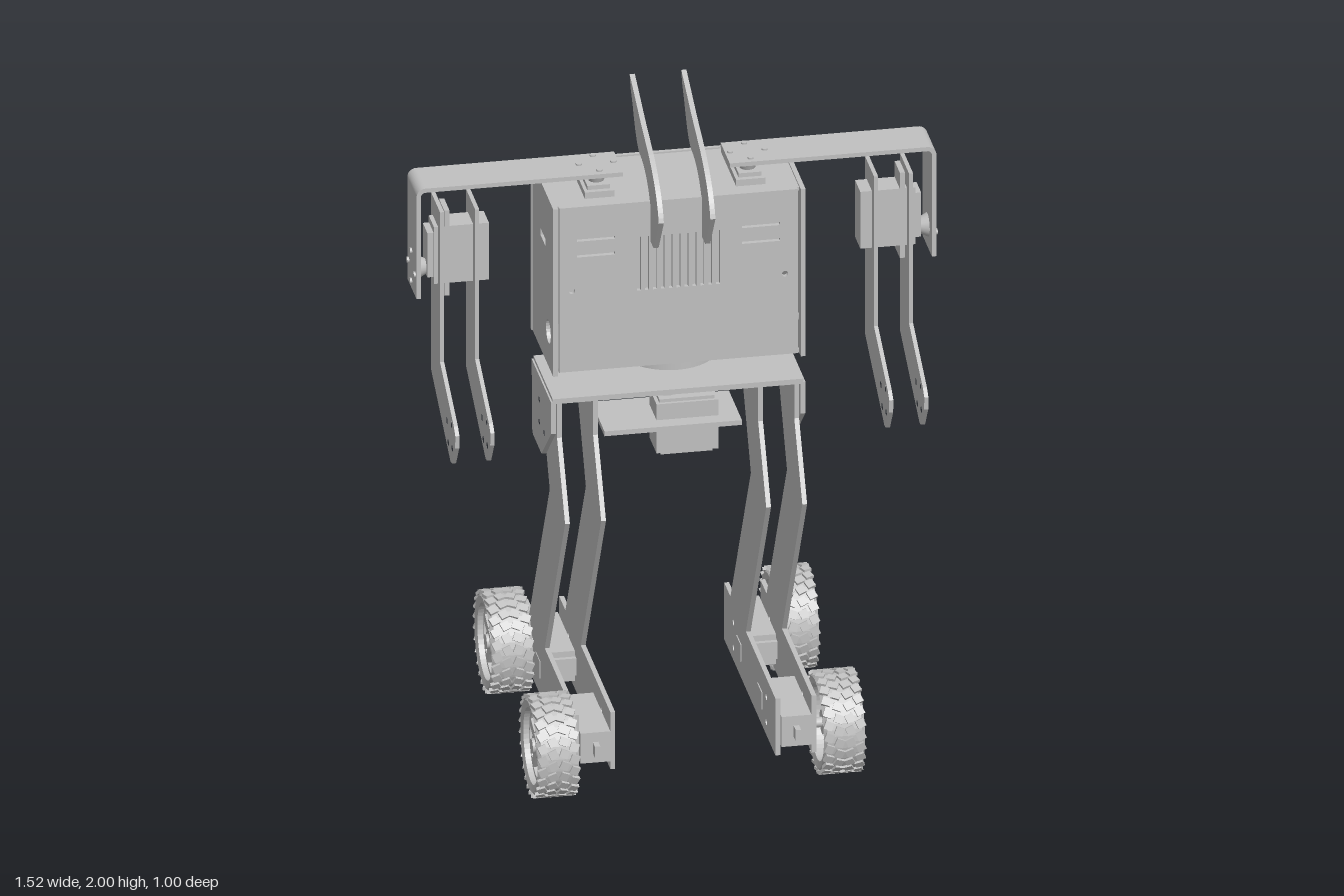
import * as THREE from 'three';

const metal = new THREE.MeshStandardMaterial({ color: 0xc0c0c0 });
metal.name = 'light grey metal';

function add(parent, name, geo, x = 0, y = 0, z = 0) {
  const m = new THREE.Mesh(geo, metal);
  m.name = name;
  m.position.set(x, y, z);
  parent.add(m);
  return m;
}
// box given by its limits on each axis
function box(parent, name, x0, x1, y0, y1, z0, z1) {
  return add(parent, name, new THREE.BoxGeometry(Math.abs(x1 - x0), y1 - y0, z1 - z0),
    (x0 + x1) / 2, (y0 + y1) / 2, (z0 + z1) / 2);
}
const round = (x, y, r) => new THREE.Path().absarc(x, y, r, 0, Math.PI * 2, true);
function rect(x, y, w, h) {
  return new THREE.Path([[-1, -1], [-1, 1], [1, 1], [1, -1]].map(([a, b]) =>
    new THREE.Vector2(x + a * w / 2, y + b * h / 2)));
}
function outline(points, holes = []) {
  const s = new THREE.Shape(points.map(p => new THREE.Vector2(...p)));
  s.holes.push(...holes);
  return s;
}
const extrude = (shape, depth) =>
  new THREE.ExtrudeGeometry(shape, { depth, bevelEnabled: false, curveSegments: 12 });
// upright plate drawn in (z, y), centred on x
function sidePlate(parent, name, shape, x, t) {
  return add(parent, name, extrude(shape, t).rotateY(-Math.PI / 2).translate(t / 2, 0, 0), x);
}
// cylinder with its axis along x
const axle = (r, w, n = 20) => new THREE.CylinderGeometry(r, r, w, n).rotateZ(Math.PI / 2);

// hollow body made of sheet panels
function buildBody(g) {
  const screws = () => [-0.31, 0.31].map(x => round(x, 1.48, 0.009));
  const slots = screws();
  for (let i = -5; i <= 5; i++) slots.push(rect(i * 0.023, 1.55, 0.011, 0.17));
  for (const x of [-0.24, 0.24]) for (const y of [1.64, 1.59]) slots.push(rect(x, y, 0.11, 0.009));
  const front = outline([[-0.347, 1.225], [0.347, 1.225], [0.347, 1.745], [-0.347, 1.745]], slots);
  add(g, 'frontPanel', extrude(front, 0.014), 0, 0, 0.121);
  const back = outline([[-0.37, 1.22], [0.37, 1.22], [0.37, 1.75], [-0.37, 1.75]], screws());
  add(g, 'backPanel', extrude(back, 0.012), 0, 0, -0.18);
  for (const s of [-1, 1]) {
    const side = outline([[-0.168, 1.22], [0.148, 1.22], [0.148, 1.75], [-0.168, 1.75]],
      [round(0.075, 1.33, 0.036), rect(-0.01, 1.59, 0.075, 0.022)]);
    sidePlate(g, 'sidePanel', side, s * 0.36, 0.014);
  }
  box(g, 'topPanel', -0.353, 0.353, 1.733, 1.745, -0.168, 0.121);
  box(g, 'bottomPanel', -0.353, 0.353, 1.22, 1.232, -0.168, 0.121);
  add(g, 'turntable', new THREE.CylinderGeometry(0.14, 0.14, 0.024, 36), 0, 1.208, -0.02);
}

// pair of curved crest fins
function buildFins(g) {
  const s = new THREE.Shape();
  s.moveTo(0.14, 1.62);
  s.lineTo(0.185, 1.62);
  s.lineTo(0.265, 1.735);
  s.quadraticCurveTo(0.24, 1.82, 0.11, 1.88);
  s.lineTo(-0.02, 1.93);
  s.lineTo(-0.12, 1.975);
  s.lineTo(-0.178, 2.0);
  s.lineTo(-0.165, 1.965);
  s.lineTo(-0.13, 1.92);
  s.quadraticCurveTo(-0.08, 1.83, -0.03, 1.82);
  s.quadraticCurveTo(0.08, 1.82, 0.14, 1.73);
  s.closePath();
  for (const x of [-0.075, 0.075]) sidePlate(g, 'crestFin', s, x, 0.015);
}

function buildArm(g, s) {
  // shoulder servo and its round horn
  const sx = s * 0.22;
  box(g, 'shoulderServo', sx - 0.043, sx + 0.043, 1.74, 1.765, -0.145, 0.085);
  box(g, 'shoulderServoCap', sx - 0.033, sx + 0.033, 1.765, 1.778, -0.11, 0.07);
  add(g, 'shoulderHorn', new THREE.CylinderGeometry(0.036, 0.022, 0.035, 20), sx, 1.794, 0.03);
  // bent shoulder bracket
  const b = new THREE.Shape();
  b.moveTo(0.155, 1.815);
  b.lineTo(0.73, 1.815);
  b.absarc(0.73, 1.802, 0.013, Math.PI / 2, 0, true);
  b.lineTo(0.743, 1.48);
  b.lineTo(0.756, 1.48);
  b.lineTo(0.756, 1.802);
  b.absarc(0.73, 1.802, 0.026, 0, Math.PI / 2, false);
  b.lineTo(0.155, 1.828);
  const geo = extrude(b, 0.14);
  if (s < 0) geo.translate(0, 0, -0.14).rotateY(Math.PI).translate(0, 0, 0);
  add(g, 'shoulderBracket', geo, 0, 0, -0.037);
  for (const [z, y] of [[0.085, 1.55], [0.03, 1.6], [0.03, 1.505], [-0.015, 1.55]])
    add(g, 'bracketScrew', axle(0.009, 0.008, 10), s * 0.758, y, z);
  for (const [x, z] of [[0.17, 0.03], [0.27, 0.03], [0.22, -0.02], [0.22, 0.08]])
    add(g, 'bracketScrew', new THREE.CylinderGeometry(0.009, 0.009, 0.006, 10), s * x, 1.83, z);
  // elbow servo
  box(g, 'armServo', s * 0.54, s * 0.70, 1.51, 1.69, -0.005, 0.075);
  box(g, 'armServoCap', s * 0.70, s * 0.718, 1.53, 1.67, 0.0, 0.07);
  box(g, 'armServoEars', s * 0.655, s * 0.67, 1.47, 1.74, -0.005, 0.075);
  const horn = new THREE.CylinderGeometry(0.022, 0.036, 0.028, 20).rotateZ(s * Math.PI / 2);
  add(g, 'armHorn', horn, s * 0.73, 1.55, 0.035);
  // twin arm plates
  for (const x of [0.58, 0.682]) {
    const holes = [[0.28, 1.16], [0.21, 1.14], [0.29, 1.09], [0.23, 1.08]]
      .map(([z, y]) => round(z, y, 0.01));
    const arm = outline([[-0.035, 1.19], [-0.035, 1.75], [0.105, 1.75], [0.105, 1.275],
      [0.315, 1.17], [0.338, 1.15], [0.335, 1.11], [0.287, 1.04], [0.265, 1.035]], holes);
    sidePlate(g, 'armPlate', arm, s * x, 0.012);
  }
}

function buildPelvis(g) {
  box(g, 'pelvisPlate', -0.365, 0.365, 1.124, 1.14, -0.165, 0.13);
  for (const s of [-1, 1]) {
    const holes = [];
    for (const z of [0.025, -0.05]) for (const y of [1.055, 0.985]) holes.push(round(z, y, 0.009));
    const flange = outline([[0.13, 1.13], [0.13, 1.03], [-0.015, 0.9], [-0.145, 0.9],
      [-0.158, 0.913], [-0.165, 1.13]], holes);
    sidePlate(g, 'hipFlange', flange, s * 0.363, 0.014);
  }
  // waist servo hanging on its mounting plate
  add(g, 'waistDisc', new THREE.CylinderGeometry(0.09, 0.09, 0.03, 28), -0.005, 1.11, -0.02);
  add(g, 'waistHorn', new THREE.CylinderGeometry(0.07, 0.05, 0.02, 24), -0.005, 1.086, -0.02);
  add(g, 'waistShaft', new THREE.CylinderGeometry(0.025, 0.025, 0.03, 16), -0.005, 1.065, -0.02);
  box(g, 'waistServo', -0.045, 0.135, 0.895, 1.05, -0.075, 0.035);
  box(g, 'waistServoCap', -0.035, 0.125, 1.05, 1.06, -0.065, 0.025);
  box(g, 'waistServoFoot', -0.03, 0.12, 0.883, 0.895, -0.06, 0.02);
  box(g, 'waistMount', -0.205, 0.195, 0.985, 1.0, -0.12, 0.08);
}

function buildLeg(g, s) {
  // twin leg plates running from hip to foot
  for (const x of [0.24, 0.345]) {
    const holes = [];
    for (const e of [-1, 1]) {
      holes.push(rect(e * 0.16, 0.16, 0.07, 0.05));
      for (const y of [0.12, 0.2]) holes.push(round(e * 0.25, y, 0.01));
    }
    const leg = outline([[-0.39, 0.08], [0.39, 0.08], [0.39, 0.26], [-0.06, 0.26], [0.25, 0.8],
      [0.127, 1.015], [0.127, 1.124], [-0.13, 1.124], [-0.13, 1.07], [0.016, 0.8],
      [-0.295, 0.26], [-0.39, 0.26]], holes);
    sidePlate(g, 'legPlate', leg, s * x, 0.014);
  }
  // gear motors and wheels at both ends of the foot
  for (const e of [-1, 1]) {
    const z = e * 0.27;
    box(g, 'gearMotor', s * 0.249, s * 0.336, 0.11, 0.205, z - 0.13, z + 0.13);
    box(g, 'motorTab', s * 0.284, s * 0.3, 0.14, 0.175, e * 0.415 - 0.016, e * 0.415 + 0.016);
    box(g, 'motorCan', s * 0.23, s * 0.354, 0.133, 0.187, e * 0.16 - 0.033, e * 0.16 + 0.033);
    const wheel = buildWheel();
    wheel.position.set(s * 0.416, 0.155, e * 0.35);
    if (s < 0) wheel.rotation.y = Math.PI;
    g.add(wheel);
  }
}

// wheel with its outer face toward +x
function buildWheel() {
  const w = new THREE.Group();
  w.name = 'wheel';
  const profile = [[0.112, -0.055], [0.133, -0.06], [0.144, -0.05], [0.144, 0.05],
    [0.133, 0.06], [0.112, 0.055], [0.112, -0.055]].map(p => new THREE.Vector2(...p));
  const tire = new THREE.LatheGeometry(profile, 48).toNonIndexed();
  tire.computeVertexNormals();
  add(w, 'tire', tire.rotateZ(-Math.PI / 2));
  // slanted tread blocks in four staggered rows
  for (let i = 0; i < 26; i++) {
    [-0.046, -0.016, 0.016, 0.046].forEach((x, row) => {
      const a = (i + (row % 3 ? 0.5 : 0)) / 26 * Math.PI * 2;
      const tread = new THREE.BoxGeometry(0.025, 0.01, 0.024)
        .rotateY(Math.sign(x) * 0.4).translate(x, 0.1455, 0).rotateX(a);
      add(w, 'treadBlock', tread);
    });
  }
  // five-spoke rim
  const rim = new THREE.Shape().absarc(0, 0, 0.113, 0, Math.PI * 2, false);
  for (let i = 0; i < 5; i++) {
    const a = i * Math.PI * 0.4 + 0.3, hole = new THREE.Path();
    hole.absarc(0, 0, 0.1, a + 0.15, a + 1.107, false);
    hole.absarc(0, 0, 0.042, a + 0.93, a + 0.33, true);
    hole.closePath();
    rim.holes.push(hole);
  }
  sidePlate(w, 'spokedRim', rim, 0.028, 0.02);
  add(w, 'hub', axle(0.036, 0.085), 0.002);
  add(w, 'hubCap', axle(0.022, 0.01), 0.048);
  add(w, 'wheelShaft', axle(0.015, 0.06, 12), -0.06);
  return w;
}

export function createModel() {
  const model = new THREE.Group();
  model.name = 'wheeledRobot';
  const part = name => {
    const g = new THREE.Group();
    g.name = name;
    model.add(g);
    return g;
  };
  buildBody(part('body'));
  buildFins(part('crest'));
  buildPelvis(part('pelvis'));
  for (const s of [-1, 1]) {
    const side = s > 0 ? 'left' : 'right';
    buildArm(part(side + 'Arm'), s);
    buildLeg(part(side + 'Leg'), s);
  }
  return model;
}
